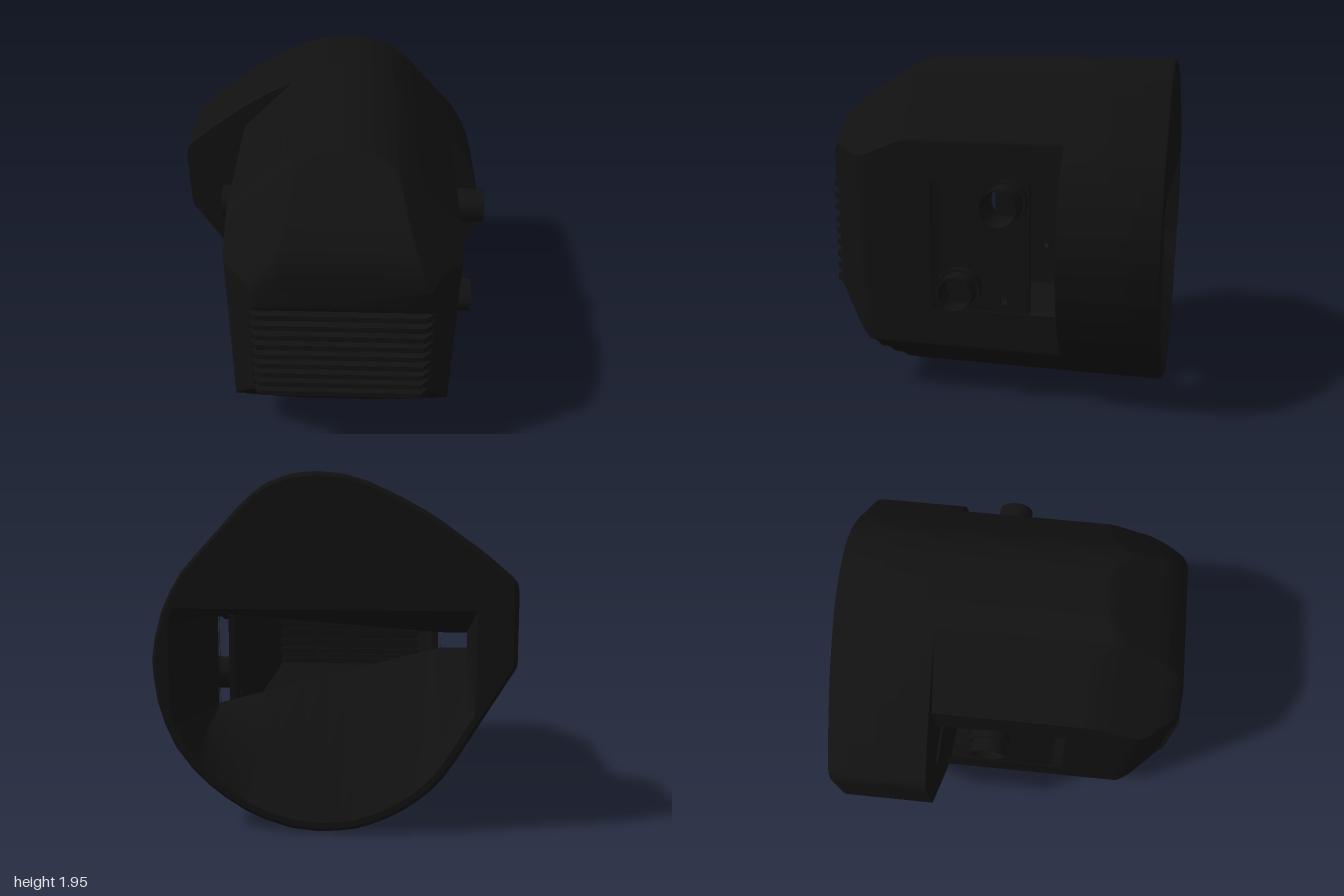
import * as THREE from 'three';
import { toCreasedNormals } from 'three/addons/utils/BufferGeometryUtils.js';

const material = new THREE.MeshStandardMaterial({ color: 0x111111, side: THREE.DoubleSide });
const V = (x, y) => new THREE.Vector2(x, y);
const { clamp, lerp, mapLinear } = THREE.MathUtils;

// Front outline of the housing, clockwise from the crown
const outline = new THREE.Path([
  [0.07, 1.953], [0.15, 1.948], [0.22, 1.937], [0.3, 1.91], [0.36, 1.88], [0.42, 1.835], [0.49, 1.77], [0.74, 1.5],
  [0.81, 1.42], [0.87, 1.32], [0.92, 1.21], [0.96, 1.07], [0.978, 0.95], [0.975, 0.86], [0.955, 0.71],
  [0.915, 0.58], [0.86, 0.46], [0.77, 0.34], [0.68, 0.25], [0.59, 0.18], [0.48, 0.11], [0.37, 0.06], [0.22, 0.015],
  [0.07, 0], [-0.04, 0.008], [-0.13, 0.022], [-0.22, 0.05], [-0.31, 0.09], [-0.4, 0.14], [-0.47, 0.19],
  [-0.54, 0.25], [-0.6, 0.315], [-0.665, 0.41], [-0.98, 0.93], [-0.985, 0.95], [-0.985, 1.33], [-0.975, 1.38],
  [-0.95, 1.41], [-0.81, 1.53], [-0.7, 1.61], [-0.59, 1.69], [-0.48, 1.76], [-0.36, 1.825], [-0.2, 1.9],
  [-0.07, 1.94], [0.07, 1.953],
].map(([x, y]) => V(x, y))).getSpacedPoints(480).slice(0, -1);

// Outline scaled about its middle, then limited to a box
function section({ s = 1, x0 = -2, x1 = 2, y0 = -2, y1 = 3 }) {
  return outline.map((p) => V(clamp(p.x * s, x0, x1), clamp(0.97 + (p.y - 0.97) * s, y0, y1)));
}

// Skin between sections at rising z; skip() leaves openings
function loft(rings, crease, capFront = false, skip = () => false) {
  const pos = [];
  const put = (p, z) => pos.push(p.x, p.y, z);
  const n = outline.length;
  for (let r = 0; r < rings.length - 1; r++) {
    const { z: za, pts: A } = rings[r], { z: zb, pts: B } = rings[r + 1];
    for (let i = 0; i < n; i++) {
      const j = (i + 1) % n;
      if (skip((A[i].y + A[j].y) / 2, (za + zb) / 2)) continue;
      put(A[i], za); put(B[i], zb); put(B[j], zb);
      put(A[i], za); put(B[j], zb); put(A[j], za);
    }
  }
  if (capFront) {
    const { z, pts } = rings[rings.length - 1];
    const c = pts.reduce((a, p) => a.add(p), V(0, 0)).divideScalar(n);
    for (let i = 0; i < n; i++) { put(c, z); put(pts[(i + 1) % n], z); put(pts[i], z); }
  }
  const g = new THREE.BufferGeometry();
  g.setAttribute('position', new THREE.Float32BufferAttribute(pos, 3));
  return toCreasedNormals(g, crease);
}

const extrude = (shape, depth) =>
  new THREE.ExtrudeGeometry(shape, { depth, bevelEnabled: false, curveSegments: 32 });

// Body stations: z, x0, x1, y0, y1
const stations = [
  [-0.45, -0.59, 0.73, 0, 1.96], [-0.44, -0.59, 0.73, 0, 1.96], [0.33, -0.59, 0.73, 0, 1.96],
  [0.45, -0.59, 0.73, 0, 1.955], [0.48, -0.59, 0.73, 0.01, 1.945], [0.52, -0.59, 0.73, 0.05, 1.925],
  [0.72, -0.59, 0.73, 0.305, 1.79], [0.76, -0.58, 0.72, 0.356, 1.763], [0.8, -0.56, 0.70, 0.407, 1.735],
  [0.85, -0.52, 0.66, 0.47, 1.695], [0.9, -0.48, 0.62, 0.535, 1.64], [0.93, -0.455, 0.595, 0.573, 1.6],
  [0.95, -0.44, 0.58, 0.6, 1.56], [0.951, -0.44, 0.58, 1.23, 1.558], [0.97, -0.425, 0.565, 1.235, 1.49],
  [0.98, -0.41, 0.55, 1.25, 1.41],
];
const WINDOW = { y0: 0.53, y1: 1.29, z0: -0.44, z1: 0.33 };

// One body section: boxed outline with sloping upper corners that sink toward the front
function bodyRing([z, x0, x1, y0, y1]) {
  const sink = (1.96 - y1) * 0.6;
  const pts = section({ x0, x1, y0, y1 });
  for (const p of pts) {
    const corner = Math.min(2.14 + p.x - sink * 1.3, 1.52 + (0.73 - p.x) * 1.1 - sink);
    p.y = Math.max(Math.min(p.y, corner), y0);
    // Line the skin up with the window edges
    if (z < 0.4) for (const y of [WINDOW.y0, WINDOW.y1]) if (Math.abs(p.y - y) < 0.008) p.y = y;
  }
  return { z, pts };
}

export function createModel() {
  const group = new THREE.Group();
  const add = (name, geometry, x = 0, y = 0, z = 0) => {
    const m = new THREE.Mesh(geometry, material);
    m.name = name;
    m.position.set(x, y, z);
    group.add(m);
  };

  // Rear collar: rounded skin
  add('rearCollarSkin', loft([[-1, 0.975], [-0.99, 0.992], [-0.97, 1], [-0.44, 1]]
    .map(([z, s]) => ({ z, pts: section({ s }) })), 0.6));

  // Funnel from the open lower back to a wedge-shaped mouth, low and wide at one end
  const ductBack = section({ s: 0.94, x0: -0.77, x1: 0.88, y1: 1.23 });
  const ductFront = section({ s: 0.94, x0: -0.745, x1: 0.74 });
  for (const p of ductFront) {
    const x = Math.max(p.x, -0.59);
    p.y = clamp(p.y, mapLinear(x, -0.59, 0.74, 0.95, 0.59), mapLinear(x, -0.59, 0.74, 1.04, 1.14));
  }
  add('rearDuct', loft([{ z: -1, pts: ductBack }, { z: -0.44, pts: ductFront }], 0.6));
  for (const [name, s, hole, z] of [['collarBackFace', 0.975, ductBack, -1], ['collarFrontFace', 1, ductFront, -0.44]]) {
    const face = new THREE.Shape(section({ s }));
    face.holes.push(new THREE.Path(hole));
    add(name, new THREE.ShapeGeometry(face), 0, 0, z);
  }

  // Body: narrower hollow housing, chamfered toward the front, with side windows
  const rings = [bodyRing(stations[0])];
  for (let i = 1; i < stations.length; i++) {
    for (let k = 1; k <= 4; k++) {
      rings.push(bodyRing(stations[i].map((v, c) => lerp(stations[i - 1][c], v, k / 4))));
    }
  }
  add('body', loft(rings, 0.75, true,
    (y, z) => y > WINDOW.y0 && y < WINDOW.y1 && z > WINDOW.z0 && z < WINDOW.z1));

  // Front grille ribs with tapered ends, and the short bars in the end gaps
  const rib = new THREE.Shape([V(-0.455, -0.93), V(0.595, -0.93), V(0.53, -1), V(-0.4, -1)].reverse());
  for (let i = 0; i < 9; i++) {
    add('grilleRib', extrude(rib, 0.036).rotateX(-Math.PI / 2), 0, 1.187 - i * 0.0735, 0);
  }
  for (const y of [1.168, 0.654]) {
    add('grilleBarLong', new THREE.BoxGeometry(0.57, 0.024, 0.02), -0.025, y, 0.945);
    add('grilleBarShort', new THREE.BoxGeometry(0.23, 0.024, 0.02), 0.445, y, 0.945);
  }

  // Side parts are drawn in (-z, y) and extruded along x
  const sidePart = (name, shape, x, depth) => add(name, extrude(shape, depth).rotateY(Math.PI / 2), x);
  const circle = (C, z, y, r) => new C().absarc(-z, y, r, 0, Math.PI * 2);
  const rect = (C, z0, z1, y0, y1) => new C([V(-z0, y0), V(-z1, y0), V(-z1, y1), V(-z0, y1)]);
  const tube = (name, z, y, ro, ri, x, depth) => {
    const s = circle(THREE.Shape, z, y, ro);
    s.holes.push(circle(THREE.Path, z, y, ri));
    sidePart(name, s, x, depth);
  };

  // Panels standing in the side windows, bored through for the upper pipes
  for (const x of [0.68, -0.58]) {
    const panel = rect(THREE.Shape, 0.27, -0.25, 0.53, 1.29);
    panel.holes.push(circle(THREE.Path, -0.12, 1.185, 0.098));
    panel.holes.push(rect(THREE.Path, -0.08, -0.12, 0.575, 0.612));
    sidePart('sidePanel', panel, x, 0.04);
  }

  // Upper pipes on both sides, blind lower pipe on the left
  tube('upperFlangeLeft', -0.12, 1.185, 0.122, 0.098, 0.70, 0.07);
  tube('upperPipeLeft', -0.12, 1.185, 0.106, 0.098, 0.76, 0.185);
  tube('upperFlangeRight', -0.12, 1.185, 0.122, 0.098, -0.63, 0.06);
  tube('upperPipeRight', -0.12, 1.185, 0.106, 0.098, -0.71, 0.09);
  tube('lowerFlangeLeft', 0.15, 0.665, 0.122, 0.09, 0.70, 0.07);
  tube('lowerPipeLeft', 0.15, 0.665, 0.106, 0.09, 0.76, 0.125);

  // Raised pad beside the upper pipe
  sidePart('panelPad', rect(THREE.Shape, 0.21, 0.02, 1.02, 1.29), 0.71, 0.02);
  return group;
}
